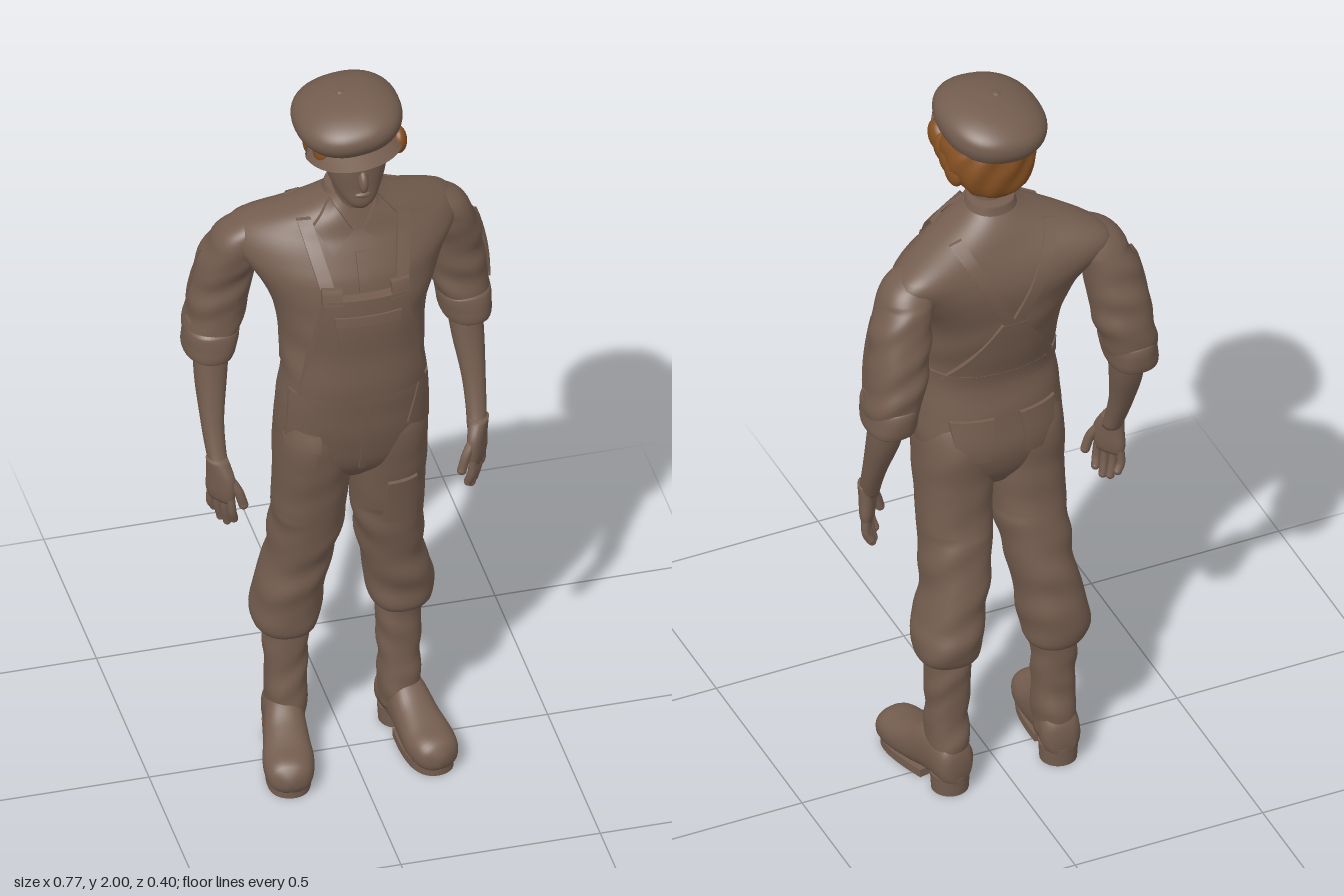
import * as THREE from 'three';

const P = 2.3; // roundness of every cross-section
const cloth = new THREE.MeshStandardMaterial({ color: 0x745d4f });
cloth.name = 'dusty brown';
const ginger = new THREE.MeshStandardMaterial({ color: 0x855022 });
ginger.name = 'ginger hair';

// A ring is [y, centreX, centreZ, radiusX, radiusZ, bow]; this reads a smooth ring at any y.
function ringAt(rings, y) {
  let i = 0;
  while (i < rings.length - 2 && y > rings[i + 1][0]) i++;
  const a = rings[i], b = rings[i + 1], h = b[0] - a[0];
  const f = THREE.MathUtils.clamp((y - a[0]) / h, 0, 1), f2 = f * f, f3 = f2 * f;
  const slope = (j, k) => {
    const p = rings[Math.max(j - 1, 0)], q = rings[Math.min(j + 1, rings.length - 1)];
    return ((q[k] || 0) - (p[k] || 0)) / (q[0] - p[0]);
  };
  return [1, 2, 3, 4, 5].map(k =>
    (2 * f3 - 3 * f2 + 1) * (a[k] || 0) + (f3 - 2 * f2 + f) * h * slope(i, k) +
    (3 * f2 - 2 * f3) * (b[k] || 0) + (f3 - f2) * h * slope(i + 1, k));
}

// Closed smooth body through rings, with optional cloth folds.
function loft(rings, { seg = 36, steps = 36, fold = () => 0 } = {}) {
  const y0 = rings[0][0], y1 = rings[rings.length - 1][0], pos = [], idx = [];
  for (let i = 0; i <= steps; i++) {
    const y = y0 + (y1 - y0) * i / steps, [cx, cz, rx, rz, bow] = ringAt(rings, y);
    for (let j = 0; j < seg; j++) {
      const t = j / seg * Math.PI * 2, c = Math.cos(t), s = Math.sin(t), k = 1 + fold(y, t);
      const x = cx + Math.sign(c) * Math.abs(c) ** (2 / P) * rx * k;
      const z = cz + Math.sign(s) * Math.abs(s) ** (2 / P) * rz * k;
      pos.push(x, y, z - bow * (x - cx) ** 2);
      const a = i * seg + j, b = i * seg + (j + 1) % seg;
      if (i < steps) idx.push(a, a + seg, b, b, a + seg, b + seg);
    }
  }
  const lo = pos.length / 3, hi = lo + 1, top = steps * seg;
  for (const y of [y0, y1]) { const [cx, cz] = ringAt(rings, y); pos.push(cx, y, cz); }
  for (let j = 0; j < seg; j++) {
    const n = (j + 1) % seg;
    idx.push(lo, j, n, hi, top + n, top + j);
  }
  const g = new THREE.BufferGeometry();
  g.setAttribute('position', new THREE.Float32BufferAttribute(pos, 3));
  g.setIndex(idx);
  g.computeVertexNormals();
  return g;
}

// Box whose vertices (u, v in 0..1, w in -0.5..0.5) are moved by a rule.
function warpBox(nu, nv, rule) {
  const g = new THREE.BoxGeometry(1, 1, 1, nu, nv, 1), p = g.attributes.position;
  for (let i = 0; i < p.count; i++) p.setXYZ(i, ...rule(p.getX(i) + 0.5, p.getY(i) + 0.5, p.getZ(i)));
  g.computeVertexNormals();
  return g;
}

// Cloth plate lying on the front (dir 1) or back (dir -1) of a lofted body, its top lifted by rise.
// Corners are bottom left, bottom right, top right, top left in x and y.
function patch(rings, dir, [bl, br, tr, tl], off, thick, rise = 0) {
  const mix = THREE.MathUtils.lerp;
  return warpBox(12, 12, (u, v, w) => {
    const x = mix(mix(bl[0], br[0], u), mix(tl[0], tr[0], u), v);
    const y = mix(mix(bl[1], br[1], u), mix(tl[1], tr[1], u), v);
    const [cx, cz, rx, rz, bow] = ringAt(rings, y);
    const q = Math.max(0, 1 - Math.abs((x - cx) / rx) ** P) ** (1 / P);
    return [x, y, cz + dir * (rz * q + off + rise * v) - bow * (x - cx) ** 2 + w * thick];
  });
}
const rect = (x0, x1, y0, y1) => [[x0, y0], [x1, y0], [x1, y1], [x0, y1]];
const flip = c => [c[1], c[0], c[3], c[2]].map(([x, y]) => [-x, y]);
const mirrorRings = (rings, s) => rings.map(([y, x, ...r]) => [y, x * s, ...r]);
// Irregular diagonal wrinkles
const wrinkle = (y, t, s) => Math.sin(y * 48 + 2.6 * Math.sin(t + s)) * (0.55 + 0.45 * Math.sin(y * 21 + 2 * t + s));

export function createModel() {
  const model = new THREE.Group();
  const add = (name, geo, mat = cloth, parent = model) => {
    const m = new THREE.Mesh(geo, mat);
    m.name = name;
    parent.add(m);
    return m;
  };
  const ball = (name, x, y, z, rx, ry, rz, mat, parent) => {
    const m = add(name, new THREE.SphereGeometry(1, 24, 16), mat, parent);
    m.position.set(x, y, z);
    m.scale.set(rx, ry, rz);
    return m;
  };

  // Shirt and overall body
  const torso = [
    [0.865, 0, 0.005, 0.05, 0.06], [0.92, 0, 0.013, 0.15, 0.103], [1.0, 0, 0.018, 0.186, 0.127],
    [1.1, 0, 0.032, 0.187, 0.131], [1.2, 0, 0.042, 0.178, 0.13], [1.3, 0, 0.024, 0.178, 0.138],
    [1.4, 0, 0.012, 0.195, 0.148, 0.2], [1.5, 0, -0.001, 0.25, 0.147, 0.6], [1.55, 0, -0.008, 0.285, 0.132, 0.8],
    [1.585, 0, -0.01, 0.272, 0.116, 0.9], [1.615, 0, -0.01, 0.22, 0.1, 0.9], [1.65, 0, -0.006, 0.14, 0.085, 0.6],
    [1.68, 0, 0, 0.078, 0.07, 0.2], [1.705, 0, 0.01, 0.05, 0.055]];
  add('torso', loft(torso, { steps: 64, seg: 60, fold: (y, t) => (y > 1.2 && y < 1.55 ? 0.014 : 0.007) * wrinkle(y, t, 1) }));
  add('bib', patch(torso, 1, [[-0.16, 1.18], [0.16, 1.18], [0.1, 1.485], [-0.1, 1.485]], -0.002, 0.03, 0.03));
  add('bibPocket', patch(torso, 1, [[-0.07, 1.33], [0.07, 1.33], [0.08, 1.44], [-0.08, 1.44]], 0.026, 0.014, 0.01));
  add('bibPocketFlap', patch(torso, 1, rect(-0.083, 0.083, 1.415, 1.44), 0.037, 0.014));
  add('fly', patch(torso, 1, rect(-0.007, 0.007, 0.93, 1.18), 0.002, 0.01));
  add('placket', patch(torso, 1, rect(-0.012, 0.012, 1.47, 1.575), 0.002, 0.01));
  add('backWaistband', patch(torso, -1, rect(-0.168, 0.168, 1.195, 1.235), 0.003, 0.014));
  add('backYoke', patch(torso, -1, [[-0.15, 1.22], [0.15, 1.22], [0.03, 1.41], [-0.03, 1.41]], 0.002, 0.014));

  // Collar, neck and head
  add('collarBand', loft([[1.65, 0, -0.006, 0.082, 0.074], [1.68, 0, -0.002, 0.068, 0.064], [1.712, 0, -0.004, 0.056, 0.054]], { steps: 8 }));
  add('neck', loft([[1.63, 0, 0.01, 0.048, 0.055], [1.7, 0, 0.02, 0.044, 0.055], [1.78, 0, 0.035, 0.048, 0.06]], { steps: 10 }));
  add('head', loft([
    [1.718, 0, 0.1, 0.022, 0.03], [1.735, 0, 0.085, 0.042, 0.055], [1.78, 0, 0.058, 0.066, 0.082],
    [1.83, 0, 0.042, 0.08, 0.1], [1.88, 0, 0.035, 0.085, 0.105], [1.94, 0, 0.02, 0.06, 0.08]]));
  const nose = ball('nose', 0, 1.807, 0.141, 0.013, 0.03, 0.019);
  nose.rotation.x = -0.3;
  ball('lips', 0, 1.764, 0.136, 0.021, 0.008, 0.01);
  ball('chin', 0, 1.738, 0.122, 0.026, 0.018, 0.018);
  ball('brow', 0, 1.85, 0.125, 0.06, 0.012, 0.018);

  // Hair, with soft waves at the temples
  add('hair', loft([
    [1.75, 0, -0.04, 0.04, 0.035], [1.775, 0.002, -0.032, 0.08, 0.066], [1.83, 0.006, -0.012, 0.112, 0.096],
    [1.88, 0.005, -0.002, 0.116, 0.104], [1.92, 0, 0, 0.1, 0.1]],
  { seg: 60, fold: (y, t) => 0.025 * Math.sin(9 * t + y * 60) }), ginger);
  for (const s of [-1, 1]) for (let i = 0; i < 4; i++) {
    const curl = ball('curl', s * 0.095 + 0.009, 1.868 - 0.014 * i, 0.075 - i * 0.032, 0.022, 0.04, 0.034, ginger);
    curl.rotation.x = 0.5;
  }

  // Flat cap, tilted to the right
  const cap = new THREE.Group();
  cap.name = 'flatCap';
  cap.position.set(-0.01, 1.93, 0.02);
  cap.rotation.set(-0.05, 0, 0.13);
  model.add(cap);
  add('capCrown', loft([
    [-0.055, 0.004, -0.006, 0.1, 0.116], [-0.04, 0.002, -0.003, 0.118, 0.136], [-0.01, 0, 0, 0.132, 0.151],
    [0.02, 0, 0, 0.127, 0.143], [0.045, 0, 0, 0.098, 0.108], [0.06, 0, 0, 0.055, 0.06], [0.066, 0, 0, 0.008, 0.008]],
  { seg: 48, steps: 40 }), cloth, cap);
  add('capVisor', warpBox(24, 6, (u, v, w) => {
    const a = (u - 0.5) * 2.8, x = Math.sin(a) * (0.11 + 0.014 * v);
    return [x, -0.024 - 0.026 * v - 0.024 * Math.sin(a) ** 2 + w * 0.014, Math.cos(a) * (0.1 + 0.075 * v)];
  }), cloth, cap);
  ball('capButton', -0.008, 0.065, 0, 0.01, 0.004, 0.01, cloth, cap);

  for (const s of [1, -1]) {
    const both = c => (s > 0 ? c : flip(c));
    const tag = s > 0 ? 'left' : 'right';

    // Collar flaps, straps, buckles and pockets
    add(tag + 'CollarFlap', patch(torso, 1, both([[0.068, 1.575], [0.105, 1.64], [0.056, 1.695], [0.014, 1.63]]), 0.008, 0.012));
    add(tag + 'FrontStrap', patch(torso, 1, both([[0.068, 1.47], [0.103, 1.47], [0.14, 1.642], [0.108, 1.652]]), 0.03, 0.014, -0.024));
    add(tag + 'BackStrap', patch(torso, -1, both([[-0.03, 1.36], [0.002, 1.36], [0.14, 1.642], [0.108, 1.652]]), 0.002, 0.012));
    add(tag + 'Buckle', patch(torso, 1, both(rect(0.062, 0.11, 1.472, 1.515)), 0.034, 0.016));
    add(tag + 'BackPocket', patch(torso, -1, both([[0.05, 0.98], [0.125, 0.98], [0.14, 1.1], [0.035, 1.1]]), 0.003, 0.014));
    add(tag + 'HipPocket', patch(torso, 1, both([[0.11, 1.06], [0.18, 1.03], [0.174, 1.18], [0.14, 1.18]]), 0.004, 0.014));

    // Sleeve with rolled cuff
    const sleeve = mirrorRings([
      [1.195, 0.322, -0.113, 0.055, 0.074], [1.25, 0.315, -0.116, 0.066, 0.08], [1.34, 0.299, -0.115, 0.073, 0.08],
      [1.44, 0.284, -0.1, 0.072, 0.076], [1.52, 0.262, -0.08, 0.068, 0.075], [1.57, 0.24, -0.068, 0.058, 0.06],
      [1.605, 0.21, -0.055, 0.025, 0.03]], s);
    add(tag + 'Sleeve', loft(sleeve, { steps: 60, seg: 44, fold: (y, t) => (y < 1.53 ? 0.055 : 0.01) * wrinkle(y * 1.25, t, s) }));
    add(tag + 'SleeveCuff', loft(mirrorRings([
      [1.182, 0.324, -0.112, 0.05, 0.07], [1.19, 0.323, -0.112, 0.061, 0.082], [1.225, 0.319, -0.113, 0.065, 0.087],
      [1.262, 0.315, -0.113, 0.065, 0.084], [1.272, 0.314, -0.112, 0.057, 0.075]], s),
    { fold: (y, t) => 0.02 * Math.sin(3 * t + y * 40) }));
    add(tag + 'SleeveTab', warpBox(2, 8, (u, v, w) => [s * (0.37 - 0.03 * v * v) + w * 0.016, 1.29 + 0.2 * v, -0.1 + 0.015 * v + (0.5 - u) * -0.035]));

    // Forearm
    add(tag + 'Forearm', loft(mirrorRings([
      [0.9, 0.323, -0.004, 0.023, 0.027], [0.95, 0.327, -0.026, 0.025, 0.028], [1.02, 0.328, -0.054, 0.029, 0.034],
      [1.12, 0.323, -0.088, 0.039, 0.046], [1.24, 0.315, -0.112, 0.045, 0.055]], s), { seg: 28 }));

    // Hand turned inwards: palm, fingers and thumb
    const hand = new THREE.Group();
    hand.name = tag + 'Hand';
    hand.position.set(s * 0.322, 0, 0.006);
    hand.rotation.y = -s * 0.6;
    model.add(hand);
    add('palm', loft([[0.815, 0, 0, 0.014, 0.038], [0.84, 0, 0, 0.019, 0.044], [0.885, 0, 0, 0.021, 0.041],
      [0.93, 0, -0.012, 0.023, 0.028]], { seg: 28, steps: 14 }), cloth, hand);
    const finger = (name, pts, r) => {
      const path = new THREE.CatmullRomCurve3(pts.map(([x, y, z]) => new THREE.Vector3(s * x, y, z)));
      add(name, new THREE.TubeGeometry(path, 10, r, 10), cloth, hand);
      const [x, y, z] = pts[pts.length - 1];
      ball(name + 'Tip', s * x, y, z, r, r, r, cloth, hand);
    };
    [0.762, 0.746, 0.75, 0.77].forEach((end, i) => {
      const z = 0.032 - i * 0.021;
      finger('finger', [[0, 0.83, z], [-0.002, 0.79, z * 1.1], [-0.012, end, z]], 0.0108);
    });
    finger('thumb', [[0, 0.89, 0.02], [-0.012, 0.85, 0.046], [-0.02, 0.81, 0.056]], 0.012);

    // Trouser leg gathered at the shin
    const lift = s > 0 ? 0.03 : 0;
    const leg = mirrorRings([
      [0.355, 0.14, -0.06, 0.058, 0.065], [0.37, 0.142, -0.06, 0.076, 0.084], [0.43, 0.142, -0.06, 0.085, 0.094],
      [0.51, 0.131, -0.053, 0.081, 0.097], [0.6, 0.113, -0.04, 0.08, 0.097], [0.7, 0.102, -0.02, 0.087, 0.098],
      [0.8, 0.097, -0.002, 0.091, 0.099], [0.9, 0.095, 0.01, 0.093, 0.108], [1.02, 0.092, 0.018, 0.094, 0.12],
      [1.12, 0.085, 0.028, 0.07, 0.09]], s).map(([y, ...r]) => [y < 0.5 ? y + lift : y, ...r]);
    add(tag + 'TrouserLeg', loft(leg, { steps: 80, seg: 48, fold: (y, t) => (y < 0.75 ? 0.045 : 0.015) * wrinkle(y, t, s * 0.8) }));
    if (s > 0) {
      add('kneePatch', patch(leg, 1, [[0.065, 0.73], [0.15, 0.72], [0.145, 0.87], [0.07, 0.86]], 0.003, 0.016));
    } else {
      add('thighPocket', patch(leg, 1, [[-0.187, 0.97], [-0.125, 0.96], [-0.115, 1.05], [-0.18, 1.06]], 0.008, 0.028));
      add('thighPocketFlap', patch(leg, 1, [[-0.184, 1.03], [-0.112, 1.02], [-0.11, 1.06], [-0.18, 1.07]], 0.018, 0.026));
    }

    // Boot with sole and heel, toes turned out
    add(tag + 'BootShaft', loft(mirrorRings([
      [0.07, 0.142, -0.065, 0.046, 0.06], [0.14, 0.142, -0.06, 0.051, 0.066], [0.22, 0.142, -0.06, 0.051, 0.057],
      [0.32, 0.141, -0.062, 0.055, 0.058], [0.44, 0.14, -0.06, 0.056, 0.06]], s),
    { fold: (y, t) => 0.05 * wrinkle(y * 1.3, t, s) }));
    const boot = new THREE.Group();
    boot.name = tag + 'Boot';
    boot.position.x = s * 0.159;
    boot.rotation.y = s * 0.17;
    model.add(boot);
    add('bootFoot', loft([
      [-0.133, 0, -0.075, 0.03, 0.04], [-0.115, 0, -0.085, 0.048, 0.062], [-0.03, 0, -0.092, 0.05, 0.074],
      [0.04, 0, -0.068, 0.057, 0.06], [0.1, 0, -0.055, 0.063, 0.049], [0.148, 0, -0.05, 0.056, 0.044],
      [0.17, 0, -0.046, 0.041, 0.034], [0.181, 0, -0.043, 0.014, 0.016]]).rotateX(Math.PI / 2), cloth, boot);
    const sole = new THREE.Shape();
    sole.moveTo(-0.042, 0.02);
    sole.bezierCurveTo(-0.066, -0.1, -0.06, -0.173, 0, -0.175);
    sole.bezierCurveTo(0.06, -0.173, 0.066, -0.1, 0.042, 0.02);
    add('bootSole', new THREE.ExtrudeGeometry(sole, { depth: 0.022, bevelEnabled: false, curveSegments: 16 }).rotateX(-Math.PI / 2), cloth, boot);
    const heel = add('bootHeel', new THREE.CylinderGeometry(0.049, 0.046, 0.05, 28), cloth, boot);
    heel.position.set(0, 0.025, -0.086);
  }
  return model;
}
